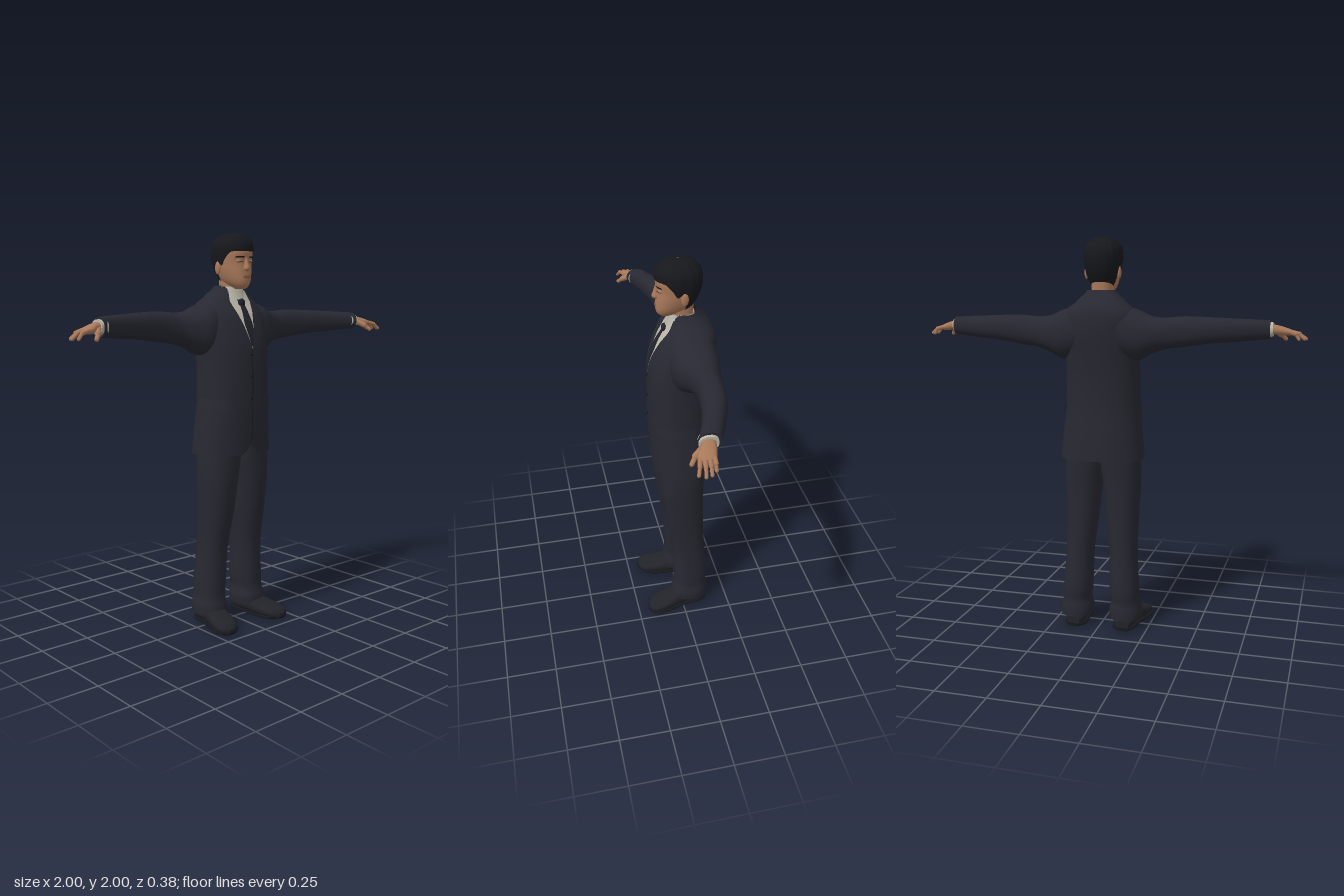
import * as THREE from 'three';

const mat = (name, color) => {
  const m = new THREE.MeshStandardMaterial({ color, side: THREE.DoubleSide });
  m.name = name;
  return m;
};

// Smooth interpolation of rows [position, ...values] at position p
function at(rows, p) {
  const n = rows.length;
  p = Math.min(Math.max(p, rows[0][0]), rows[n - 1][0]);
  let i = 0;
  while (i < n - 2 && p > rows[i + 1][0]) i++;
  const A = rows[i], B = rows[i + 1], P = rows[Math.max(i - 1, 0)], N = rows[Math.min(i + 2, n - 1)];
  const h = B[0] - A[0], t = (p - A[0]) / h, t2 = t * t, t3 = t2 * t;
  return A.map((a, k) => {
    const m0 = (B[k] - P[k]) / (B[0] - P[0]) * h, m1 = (N[k] - A[k]) / (N[0] - A[0]) * h;
    return (2 * t3 - 3 * t2 + 1) * a + (t3 - 2 * t2 + t) * m0 + (3 * t2 - 2 * t3) * B[k] + (t3 - t2) * m1;
  });
}

// Point on a section [pos, lo1, hi1, lo2, hi2]; axis is the lofting direction
function ringPoint(rows, pos, ang, axis = 'y', off = 0, pow = 2.3) {
  const s = at(rows, pos), c = Math.cos(ang), d = Math.sin(ang), e = 2 / pow;
  const a = (s[1] + s[2]) / 2 + ((s[2] - s[1]) / 2 + off) * Math.sign(c) * Math.abs(c) ** e;
  const b = (s[3] + s[4]) / 2 + ((s[4] - s[3]) / 2 + off) * Math.sign(d) * Math.abs(d) ** e;
  return axis === 'y' ? [a, pos, b] : axis === 'x' ? [pos, b, a] : [a, b, pos];
}

function build(pos, idx) {
  const g = new THREE.BufferGeometry();
  g.setAttribute('position', new THREE.Float32BufferAttribute(pos, 3));
  g.setIndex(idx);
  g.computeVertexNormals();
  return g;
}

// Open patch: u runs rightwards, v downwards as seen from outside
function patch(fn, nu, nv) {
  const pos = [], idx = [];
  for (let j = 0; j <= nv; j++) for (let i = 0; i <= nu; i++) pos.push(...fn(i / nu, j / nv));
  for (let j = 0; j < nv; j++) for (let i = 0; i < nu; i++) {
    const a = j * (nu + 1) + i, b = a + nu + 1;
    idx.push(a, b, b + 1, a, b + 1, a + 1);
  }
  return build(pos, idx);
}

// Closed tube through sections, with optional flat end caps
function loft(rows, axis = 'y', { nu = 32, nv = 30, caps = true, pow = 2.3, warp = (p) => p } = {}) {
  const pos = [], idx = [], p0 = rows[0][0], p1 = rows[rows.length - 1][0];
  const ring = (p) => { for (let i = 0; i < nu; i++) pos.push(...warp(ringPoint(rows, p, i / nu * Math.PI * 2, axis, 0, pow))); };
  for (let j = 0; j <= nv; j++) ring(p0 + (p1 - p0) * j / nv);
  const flip = axis === 'z';
  const tri = (a, b, c) => (flip ? idx.push(a, b, c) : idx.push(a, c, b));
  for (let j = 0; j < nv; j++) for (let i = 0; i < nu; i++) {
    const a = j * nu + i, b = j * nu + (i + 1) % nu;
    tri(a, b, b + nu); tri(a, b + nu, a + nu);
  }
  if (caps) for (const [k, p] of [p0, p1].entries()) {
    const base = pos.length / 3, s = at(rows, p), a = (s[1] + s[2]) / 2, b = (s[3] + s[4]) / 2;
    ring(p);
    pos.push(...(axis === 'y' ? [a, p, b] : axis === 'x' ? [p, b, a] : [a, b, p]));
    for (let i = 0; i < nu; i++) {
      const q = base + i, r = base + (i + 1) % nu;
      k ? tri(q, r, base + nu) : tri(r, q, base + nu);
    }
  }
  return build(pos, idx);
}

// Thin strip of rows [y, xLeft, xRight] laid on the front of a lofted body
function frontStrip(body, rows, off, nu = 8, nv = 16) {
  return patch((u, v) => {
    const y = rows[0][0] + (rows[rows.length - 1][0] - rows[0][0]) * v;
    let i = 0;
    while (i < rows.length - 2 && y < rows[i + 1][0]) i++;
    const t = (y - rows[i][0]) / (rows[i + 1][0] - rows[i][0]);
    const l = THREE.MathUtils.lerp(rows[i][1], rows[i + 1][1], t), r = THREE.MathUtils.lerp(rows[i][2], rows[i + 1][2], t);
    const x = l + (r - l) * u, s = at(body, y), rz = (s[4] - s[3]) / 2;
    const k = Math.min(Math.abs(x) / s[2], 0.98);
    return [x, y, (s[3] + s[4]) / 2 + rz * (1 - k ** 2.3) ** (1 / 2.3) + off];
  }, nu, nv);
}

function bone(a, b, r) {
  const A = new THREE.Vector3(...a), B = new THREE.Vector3(...b), d = B.clone().sub(A);
  const q = new THREE.Quaternion().setFromUnitVectors(new THREE.Vector3(0, 1, 0), d.clone().normalize());
  const m = new THREE.Matrix4().compose(A.add(B).multiplyScalar(0.5), q, new THREE.Vector3(1, 1, 1));
  return new THREE.CapsuleGeometry(r, d.length(), 5, 10).applyMatrix4(m);
}

const ball = (x, y, z, a, b, c) => new THREE.SphereGeometry(1, 18, 12).scale(a, b, c).translate(x, y, z);

export function createModel() {
  const root = new THREE.Group();
  root.name = 'suitedMan';
  const suit = mat('suitCloth', 0x272831), trim = mat('darkTrim', 0x17181d), shirt = mat('shirtCloth', 0xbdb8aa);
  const tieMat = mat('tieCloth', 0x20222c), skin = mat('skin', 0xa9795a), lip = mat('lips', 0x87584a);
  const hairMat = mat('hair', 0x17181c), leather = mat('shoeLeather', 0x222329);

  const add = (name, g, m) => {
    const mesh = new THREE.Mesh(g, m);
    mesh.name = name;
    root.add(mesh);
  };
  const pair = (name, g, m) => {
    add('left' + name, g, m);
    const r = g.clone().scale(-1, 1, 1), ix = r.index.array;
    for (let i = 0; i < ix.length; i += 3) [ix[i], ix[i + 1]] = [ix[i + 1], ix[i]];
    add('right' + name, r, m);
  };

  // Jacket body, with a small cutaway at the front hem
  const torso = [
    [0.895, -0.215, 0.215, -0.18, 0.135], [1.0, -0.205, 0.205, -0.175, 0.14], [1.15, -0.19, 0.19, -0.165, 0.145],
    [1.3, -0.187, 0.187, -0.165, 0.145], [1.42, -0.19, 0.19, -0.175, 0.14], [1.52, -0.2, 0.2, -0.185, 0.118],
    [1.6, -0.2, 0.2, -0.185, 0.085], [1.65, -0.165, 0.165, -0.175, 0.055], [1.69, -0.11, 0.11, -0.14, 0.037],
    [1.735, -0.066, 0.066, -0.09, 0.02]];
  const hem = ([x, y, z]) => [x, y + (z > 0 ? 0.05 * Math.exp(-((x / 0.03) ** 2)) * Math.max(0, 1 - (y - 0.895) / 0.12) : 0), z];
  add('jacketBody', loft(torso, 'y', { nu: 64, nv: 44, caps: false, warp: hem }), suit);
  add('jacketCollar', patch((u, v) => ringPoint(torso, 1.74 - 0.055 * v, 0.35 - u * (Math.PI + 0.7), 'y', 0.007), 30, 4), suit);
  add('frontSeam', frontStrip(torso, [[1.43, -0.002, 0.002], [0.96, -0.002, 0.002]], 0.003, 1, 20), trim);
  for (const y of [1.4, 1.29, 1.18]) add('jacketButton', ball(-0.008, y, at(torso, y)[4] + 0.002, 0.007, 0.007, 0.004), trim);
  pair('PocketFlap', patch((u, v) => ringPoint(torso, 1.18 - 0.05 * v, 0.95 - 1.2 * u, 'y', 0.003 + 0.004 * v), 14, 3), suit);
  add('breastPocket', frontStrip(torso, [[1.49, 0.085, 0.145], [1.47, 0.085, 0.145]], 0.004, 6, 2), suit);

  // Shirt front, tie and lapels
  add('shirtFront', frontStrip(torso, [[1.715, -0.055, 0.055], [1.66, -0.07, 0.07], [1.55, -0.035, 0.035], [1.43, -0.004, 0.004]], 0.004), shirt);
  add('tie', frontStrip(torso, [[1.67, -0.023, 0.023], [1.64, -0.015, 0.015], [1.55, -0.027, 0.027], [1.44, -0.006, 0.006]], 0.009), tieMat);
  add('tieKnot', ball(0, 1.655, 0.062, 0.021, 0.02, 0.012), tieMat);
  pair('Lapel', frontStrip(torso, [[1.71, 0.056, 0.075], [1.66, 0.068, 0.108], [1.615, 0.056, 0.11], [1.6, 0.051, 0.122], [1.53, 0.03, 0.088], [1.43, 0.002, 0.01]], 0.009, 6, 24), suit);
  add('shirtCollar', loft([[1.675, -0.066, 0.066, -0.09, 0.05], [1.7, -0.063, 0.063, -0.088, 0.043], [1.735, -0.059, 0.059, -0.084, 0.036]], 'y', { nv: 5, caps: false }), shirt);

  // Sleeves and shirt cuffs
  pair('Sleeve', loft([
    [0.1, -0.172, 0.06, 1.42, 1.665], [0.19, -0.167, 0.065, 1.395, 1.645], [0.25, -0.155, 0.038, 1.425, 1.617],
    [0.32, -0.138, 0.008, 1.452, 1.608], [0.42, -0.122, 0.0, 1.467, 1.615], [0.55, -0.105, 0.015, 1.485, 1.611],
    [0.65, -0.075, 0.035, 1.492, 1.606], [0.75, -0.038, 0.066, 1.5, 1.601], [0.825, -0.008, 0.098, 1.506, 1.596]], 'x', { nv: 36 }), suit);
  pair('ShirtCuff', loft([[0.8, 0, 0.09, 1.513, 1.589], [0.838, 0.008, 0.094, 1.517, 1.586]], 'x', { nv: 2 }), shirt);

  // Hands
  pair('Palm', loft([[0.82, 0.02, 0.08, 1.53, 1.577], [0.85, 0.022, 0.09, 1.527, 1.574], [0.89, 0.03, 0.113, 1.523, 1.563],
    [0.92, 0.04, 0.117, 1.523, 1.552], [0.933, 0.05, 0.112, 1.528, 1.545]], 'x', { nu: 20, nv: 12 }), skin);
  const fingers = [[0.048, 0.96, 0.05], [0.068, 0.985, 0.074], [0.088, 0.993, 0.1], [0.107, 0.977, 0.126]];
  for (const [z0, x1, z1] of fingers) {
    const mid = [(0.92 + x1) / 2 + 0.004, 1.53, (z0 + z1) / 2];
    pair('FingerBase', bone([0.915, 1.54, z0], mid, 0.0105), skin);
    pair('FingerTip', bone(mid, [x1, 1.506, z1], 0.008), skin);
  }
  pair('ThumbBase', bone([0.85, 1.545, 0.08], [0.872, 1.525, 0.115], 0.015), skin);
  pair('ThumbTip', bone([0.872, 1.525, 0.115], [0.893, 1.503, 0.135], 0.0105), skin);

  // Trousers
  pair('TrouserLeg', loft([
    [0.055, 0.05, 0.213, -0.14, 0.052], [0.1, 0.046, 0.214, -0.14, 0.052], [0.135, 0.057, 0.203, -0.133, 0.042],
    [0.2, 0.05, 0.2, -0.14, 0.042], [0.4, 0.045, 0.187, -0.125, 0.05], [0.6, 0.022, 0.19, -0.12, 0.082],
    [0.75, 0.008, 0.195, -0.12, 0.1], [0.85, -0.008, 0.195, -0.125, 0.105], [0.97, -0.02, 0.185, -0.13, 0.11]], 'y', { nv: 44 }), suit);

  // Shoes
  pair('Shoe', loft([[-0.128, 0.1, 0.165, 0.004, 0.055], [-0.1, 0.08, 0.18, 0.003, 0.08], [-0.03, 0.078, 0.188, 0.003, 0.095],
    [0.04, 0.08, 0.208, 0.003, 0.085], [0.1, 0.09, 0.226, 0.003, 0.066], [0.16, 0.113, 0.228, 0.003, 0.05],
    [0.183, 0.135, 0.213, 0.004, 0.038], [0.19, 0.16, 0.19, 0.008, 0.025]], 'z', { nv: 26, pow: 2.5 }), leather);
  pair('Sole', loft([[-0.132, 0.105, 0.16, 0, 0.016], [-0.1, 0.074, 0.184, 0, 0.016], [0, 0.076, 0.2, 0, 0.014],
    [0.1, 0.085, 0.23, 0, 0.014], [0.16, 0.107, 0.232, 0, 0.014], [0.193, 0.155, 0.195, 0, 0.014]], 'z', { nv: 20, pow: 4 }), trim);

  // Neck and head
  add('neck', loft([[1.66, -0.058, 0.058, -0.08, 0.03], [1.72, -0.054, 0.054, -0.078, 0.03], [1.79, -0.056, 0.056, -0.082, 0.045]], 'y', { nv: 8 }), skin);
  const head = [
    [1.722, -0.022, 0.022, 0.02, 0.078], [1.735, -0.04, 0.04, -0.01, 0.093], [1.76, -0.06, 0.06, -0.06, 0.1],
    [1.8, -0.075, 0.075, -0.088, 0.098], [1.85, -0.084, 0.084, -0.105, 0.094], [1.9, -0.087, 0.087, -0.112, 0.1],
    [1.94, -0.08, 0.08, -0.104, 0.09], [1.97, -0.058, 0.058, -0.078, 0.066], [1.985, -0.035, 0.035, -0.05, 0.035], [1.99, -0.004, 0.004, -0.01, 0.0]];
  add('head', loft(head, 'y', { nu: 40, nv: 40, pow: 2.2 }), skin);
  pair('Ear', ball(0.085, 1.825, -0.022, 0.009, 0.032, 0.018), skin);
  add('nose', loft([[1.808, -0.011, 0.011, 0.075, 0.104], [1.818, -0.017, 0.017, 0.075, 0.117], [1.84, -0.011, 0.011, 0.075, 0.111],
    [1.875, -0.008, 0.008, 0.075, 0.1]], 'y', { nu: 16, nv: 10 }), skin);
  pair('Eyelid', ball(0.034, 1.857, 0.08, 0.017, 0.01, 0.013), skin);
  pair('LashLine', frontStrip(head, [[1.855, 0.02, 0.05], [1.851, 0.022, 0.048]], 0.005, 6, 1), trim);
  pair('Eyebrow', frontStrip(head, [[1.881, 0.018, 0.056], [1.873, 0.016, 0.06]], 0.004, 6, 2), hairMat);
  add('mouth', frontStrip(head, [[1.788, -0.012, 0.012], [1.781, -0.026, 0.026], [1.772, -0.014, 0.014]], 0.004, 8, 6), lip);

  // Hair, with a hairline that rises at the forehead and drops behind the ears
  const hairline = [[-1, 1.742], [-0.5, 1.762], [-0.15, 1.858], [0.1, 1.835], [0.35, 1.87], [0.6, 1.9], [1, 1.905]];
  add('hair', patch((u, v) => {
    const a = u * Math.PI * 2, s = Math.sin(a), low = at(hairline, s)[1];
    const y = low + (1.99 - low) * Math.sin(v * Math.PI / 2);
    const off = (0.004 + 0.007 * Math.min(1, v * 3) + 0.002 * Math.cos(16 * a) * v) * (1 - v ** 8);
    const p = ringPoint(head, y, a, 'y', off, 2.2);
    return [p[0], y + 0.009 * v, p[2]];
  }, 80, 28), hairMat);
  return root;
}
